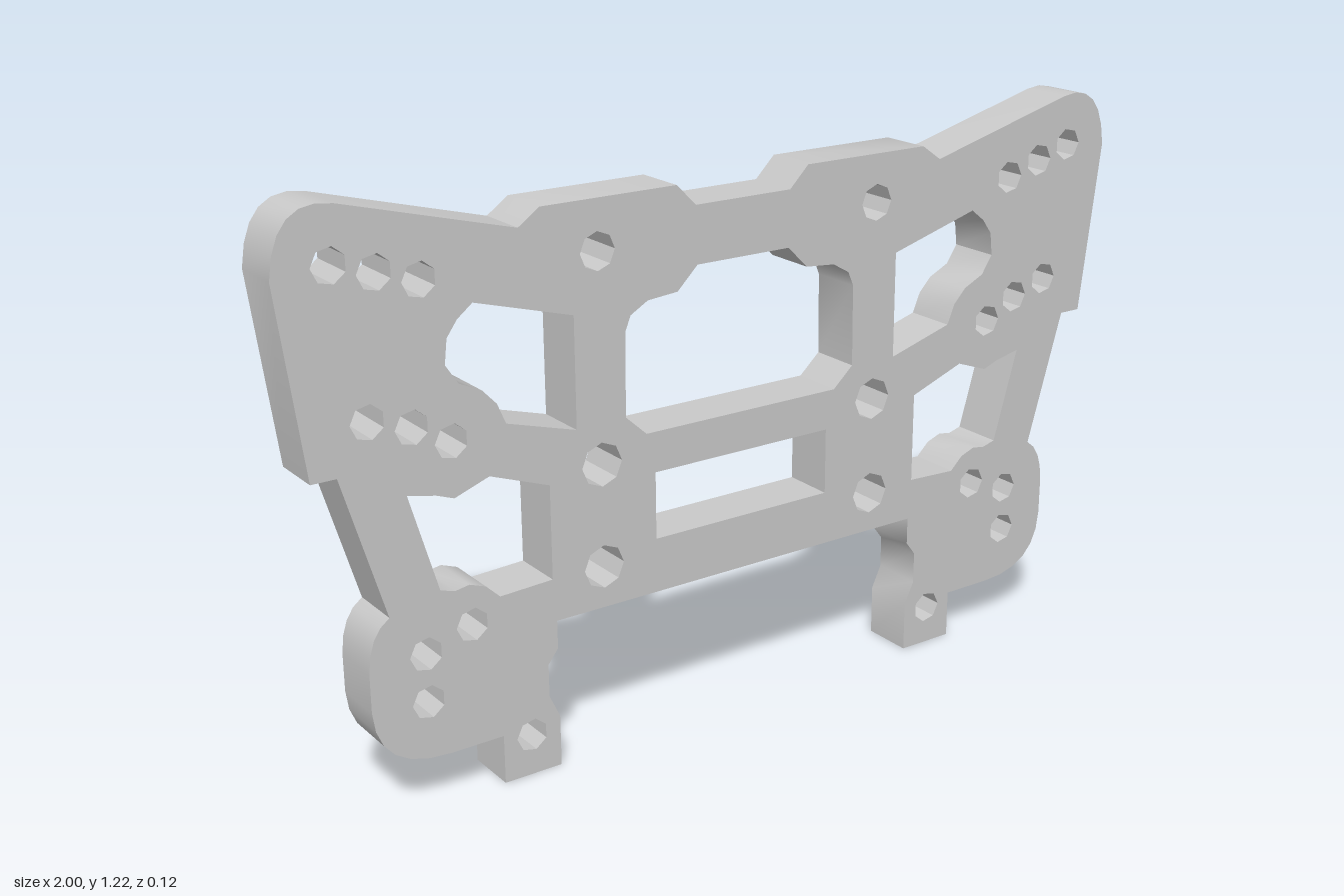
import * as THREE from 'three';
import { toCreasedNormals } from 'three/addons/utils/BufferGeometryUtils.js';

const THICKNESS = 0.115;

const vectors = (pairs) => pairs.map(([x, y]) => new THREE.Vector2(x, y));
const mirrored = (pairs) => pairs.map(([x, y]) => [-x, y]).reverse();

// Rounded corner between two points, steered by a control point
function corner(a, control, b, steps = 6) {
  return new THREE.QuadraticBezierCurve(...vectors([a, control, b]))
    .getPoints(steps).map((p) => [p.x, p.y]);
}

// Drilled hole as a regular polygon
function drill(x, y, r, sides) {
  return Array.from({ length: sides }, (_, i) => {
    const t = (i / sides) * Math.PI * 2;
    return [x + r * Math.cos(t), y + r * Math.sin(t)];
  });
}

export function createModel() {
  const group = new THREE.Group();
  const grey = new THREE.MeshStandardMaterial({ color: 0xc9c9c9 });
  grey.name = 'plate grey';

  // Outer edge of one half, from the top notch down to the underside
  const half = [
    [0.115, 1.113], [0.16, 1.158], [0.465, 1.158], [0.512, 1.125],
    ...corner([0.87, 1.22], [0.985, 1.248], [0.998, 1.1]),
    [0.952, 0.721], [0.9, 0.721],
    ...corner([0.815, 0.425], [0.86, 0.4], [0.863, 0.32], 4),
    ...corner([0.863, 0.24], [0.858, 0.105], [0.7, 0.105]),
    [0.585, 0.105], [0.585, 0], [0.455, 0], [0.455, 0.11],
    [0.478, 0.16], [0.478, 0.23], [0.455, 0.26], [0.455, 0.32],
  ];
  // Counter-clockwise, so that the walls of every opening face inwards
  const outline = new THREE.Shape(vectors([...half, ...mirrored(half)].reverse()));
  const cut = (pairs) => outline.holes.push(new THREE.Path(vectors(pairs)));

  // Centre window and slot
  const window = [
    [0.112, 0.993], [0.16, 0.946], [0.23, 0.94], [0.27, 0.917],
    [0.283, 0.886], [0.285, 0.711], [0.237, 0.667],
  ];
  cut([...window, ...mirrored(window)]);
  cut([[-0.217, 0.437], [0.217, 0.437], [0.217, 0.581], [-0.217, 0.581]]);

  // Side windows
  const sideWindows = [
    [
      [0.612, 1], [0.398, 0.939], [0.398, 0.709], [0.552, 0.754],
      [0.57, 0.797], [0.6, 0.829], [0.648, 0.852], [0.674, 0.892],
      [0.668, 0.942], [0.645, 0.974],
    ],
    [
      [0.765, 0.657], [0.707, 0.452], [0.675, 0.443], [0.645, 0.448],
      [0.61, 0.435], [0.58, 0.406], [0.462, 0.411], [0.462, 0.609],
      [0.592, 0.657], [0.668, 0.63], [0.705, 0.644],
    ],
  ];

  // Drilled holes of one half: x, y
  const smallHoles = [
    [0.888, 1.112], [0.803, 1.087], [0.717, 1.06],
    [0.834, 0.814], [0.747, 0.786], [0.668, 0.743],
    [0.642, 0.363], [0.743, 0.329], [0.743, 0.228], [0.52, 0.087],
  ].map(([x, y]) => drill(x, y, 0.035, 7));
  const largeHoles = [
    [0.342, 1.055, 0.039], [0.342, 0.625, 0.046], [0.342, 0.408, 0.046],
  ].map(([x, y, r]) => drill(x, y, r, 8));

  for (const opening of [...sideWindows, ...smallHoles, ...largeHoles]) {
    cut(opening);
    cut(mirrored(opening));
  }

  // Mounting plate with softly shaded rounded edges
  const solid = new THREE.ExtrudeGeometry(outline, { depth: THICKNESS, bevelEnabled: false });
  solid.translate(0, 0, -THICKNESS / 2);
  const plate = new THREE.Mesh(toCreasedNormals(solid, 0.68), grey);
  plate.name = 'mountingPlate';
  group.add(plate);
  return group;
}
